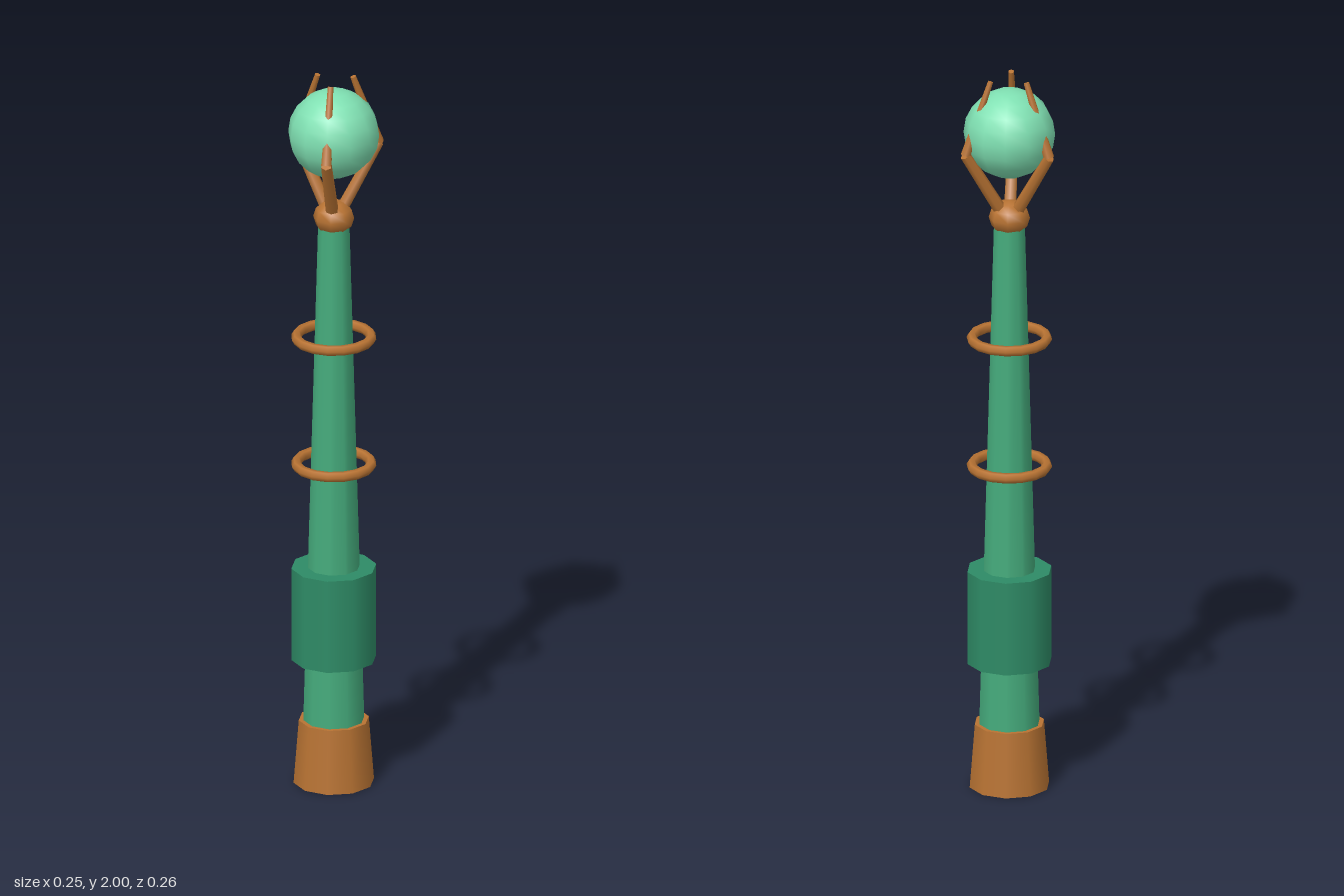
import * as THREE from 'three';

const mat = (name, color) => {
  const m = new THREE.MeshStandardMaterial({ color });
  m.name = name;
  return m;
};

export function createModel() {
  const copper = mat('copper', 0xb87333);
  const jade = mat('jade', 0x45ab7c);
  const darkJade = mat('dark jade', 0x2e8b66);
  const crystal = mat('pale crystal', 0x7fe0b2);

  const model = new THREE.Group();
  model.name = 'staff';
  const staff = new THREE.Group();
  staff.name = 'staffParts';
  staff.position.z = -0.0135; // the front claw reaches further than the back pair
  model.add(staff);

  const add = (name, geometry, material, y = 0, parent = staff) => {
    const mesh = new THREE.Mesh(geometry, material);
    mesh.name = name;
    mesh.position.y = y;
    parent.add(mesh);
    return mesh;
  };

  // Upright tapered cylinder between two heights
  const column = (name, rTop, rBottom, y0, y1, material) =>
    add(name, new THREE.CylinderGeometry(rTop, rBottom, y1 - y0, 10), material, (y0 + y1) / 2);

  column('foot', 0.094, 0.108, 0, 0.177, copper);
  column('shaft', 0.042, 0.084, 0.1, 1.59, jade);
  column('grip', 0.114, 0.114, 0.35, 0.61, darkJade);

  // Floating rings
  for (const y of [0.903, 1.263]) {
    add('ring', new THREE.TorusGeometry(0.1, 0.014, 6, 16).rotateX(Math.PI / 2), copper, y);
  }

  // Knob and orb
  add('knob', new THREE.SphereGeometry(0.055, 8, 6), copper, 1.605).scale.y = 0.87;
  add('orb', new THREE.SphereGeometry(0.122, 12, 10), crystal, 1.844);

  // Tapered claw joint from a to b
  const up = new THREE.Vector3(0, 1, 0);
  const joint = (name, a, b, rA, rB, parent) => {
    const dir = b.clone().sub(a);
    const mesh = add(name, new THREE.CylinderGeometry(rB, rA, dir.length(), 6), copper, 0, parent);
    mesh.position.copy(a).add(b).multiplyScalar(0.5);
    mesh.quaternion.setFromUnitVectors(up, dir.normalize());
  };

  // Three claws around the orb
  const root = new THREE.Vector3(0, 1.62, 0.02);
  const elbow = new THREE.Vector3(0, 1.8, 0.128);
  const tip = new THREE.Vector3(0, 1.997, 0.055);
  for (let i = 0; i < 3; i++) {
    const claw = new THREE.Group();
    claw.name = 'claw';
    claw.rotation.y = (i * Math.PI * 2) / 3;
    joint('lowerClaw', root, elbow, 0.018, 0.015, claw);
    joint('upperClaw', elbow, tip, 0.015, 0.008, claw);
    staff.add(claw);
  }

  return model;
}
